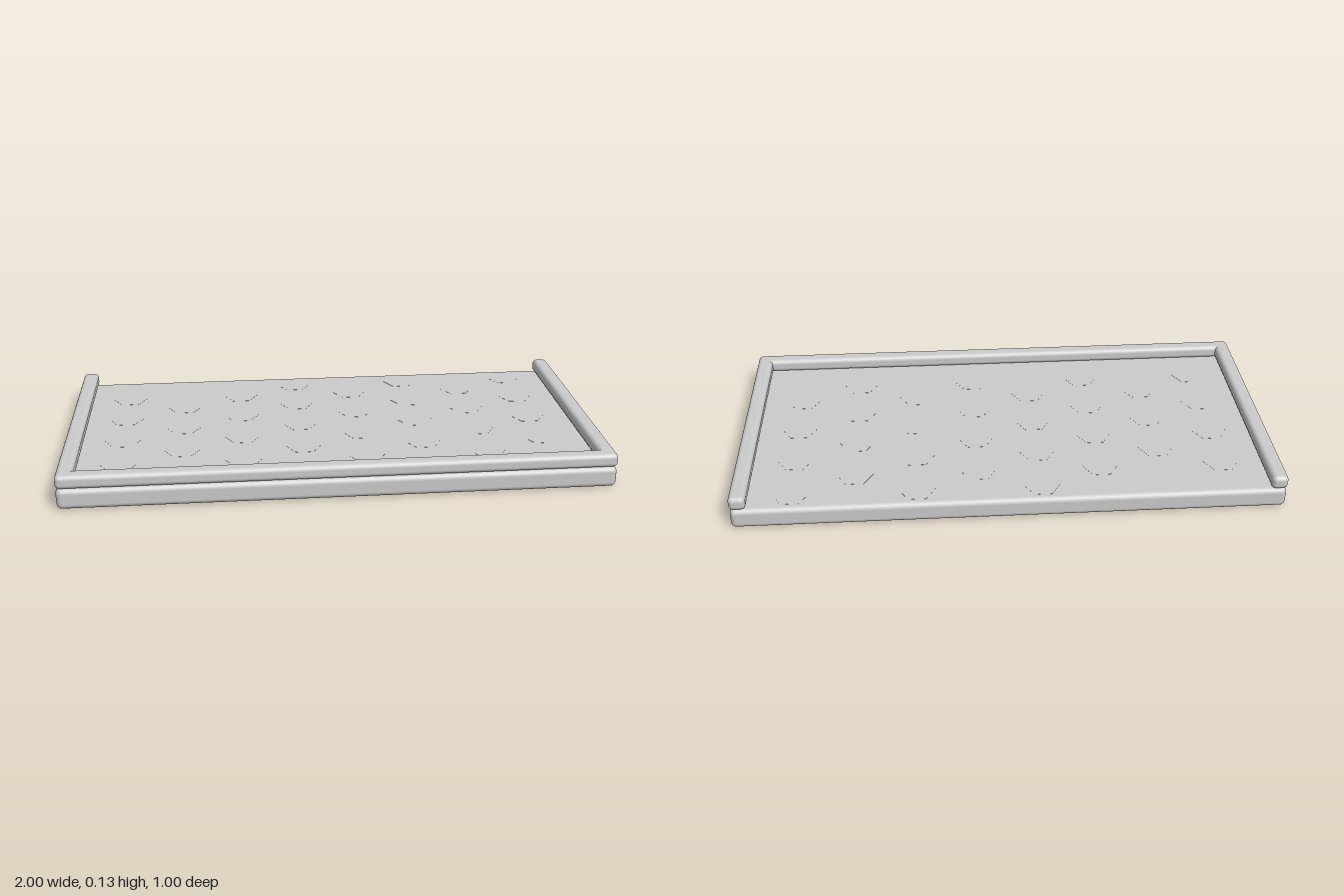
import * as THREE from 'three';
import { RoundedBoxGeometry } from 'three/addons/geometries/RoundedBoxGeometry.js';

const BASE_H = 0.078;
const RAIL_H = 0.052;
const RAIL_W = 0.06;

export function createModel() {
  const group = new THREE.Group();
  const material = new THREE.MeshStandardMaterial({ color: 0xcccccc });

  const add = (name, geometry, x, y, z) => {
    const mesh = new THREE.Mesh(geometry, material);
    mesh.name = name;
    mesh.position.set(x, y, z);
    group.add(mesh);
  };

  // Rounded base slab
  add('baseSlab', new RoundedBoxGeometry(2, BASE_H, 1, 3, 0.02), 0, BASE_H / 2, 0);

  // Raised rails on the front and both sides; the back stays open
  const railY = BASE_H + RAIL_H / 2;
  add('frontRail', new RoundedBoxGeometry(2, RAIL_H, RAIL_W, 3, 0.018), 0, railY, 0.5 - RAIL_W / 2);
  for (const [name, side] of [['leftRail', 1], ['rightRail', -1]]) {
    add(name, new RoundedBoxGeometry(RAIL_W, RAIL_H, 1, 3, 0.018), side * (1 - RAIL_W / 2), railY, 0);
  }

  // Thin hexagonal inlays in staggered columns, corners pointing along x
  const hexagon = new THREE.CylinderGeometry(0.066, 0.066, 0.004, 6, 1, false, Math.PI / 6);
  const evenRows = [-0.31, -0.104, 0.103, 0.31];
  const oddRows = [-0.413, -0.206, 0, 0.206];
  for (let column = 0; column < 8; column++) {
    const x = -0.795 + column * 0.2265;
    let rows = column % 2 ? oddRows : evenRows;
    if (column === 1) rows = oddRows.slice(1);
    for (const z of rows) add('hexInlay', hexagon, x, BASE_H - 0.0015, z);
  }

  return group;
}
